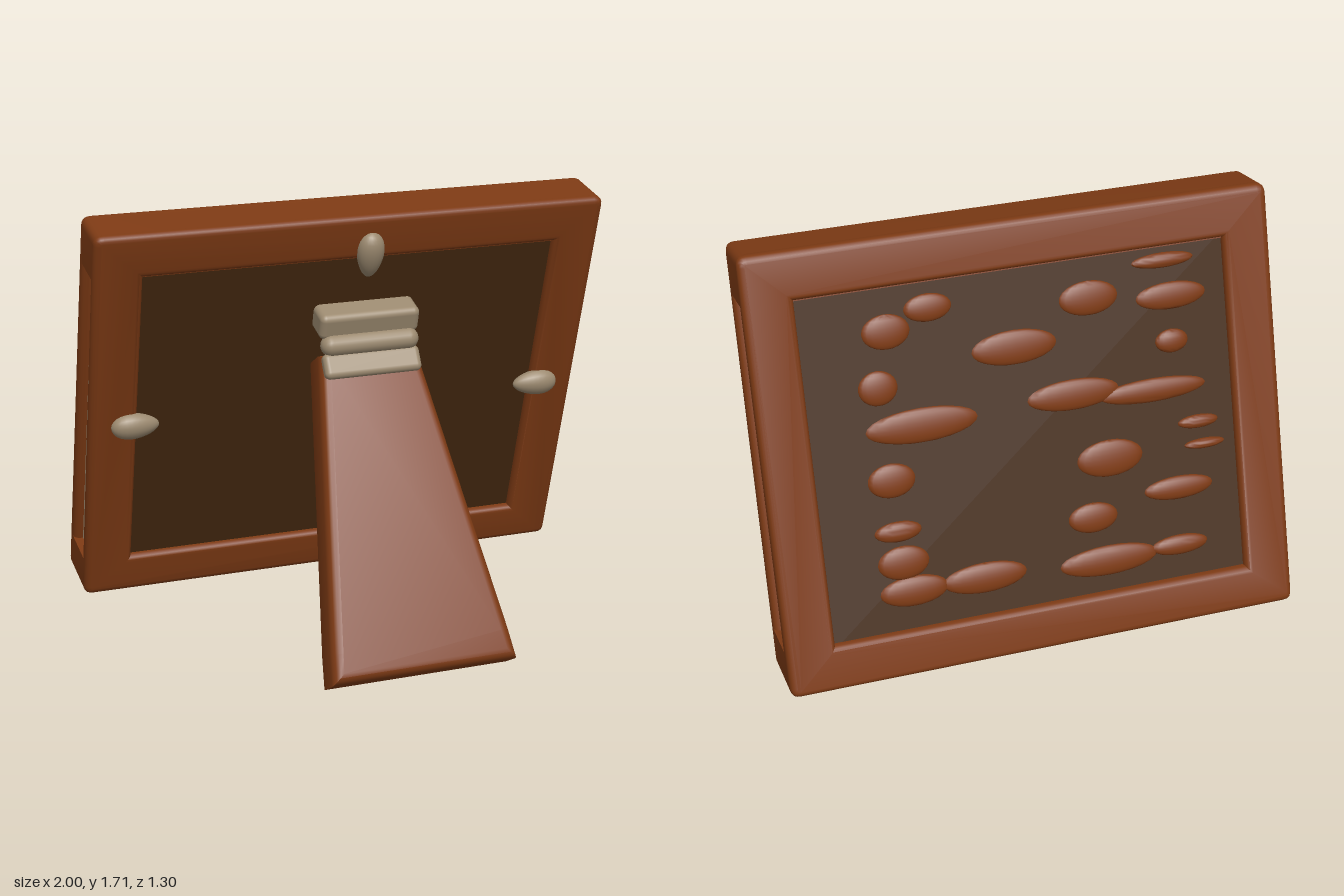
import * as THREE from 'three';
import { toCreasedNormals } from 'three/addons/utils/BufferGeometryUtils.js';
import { RoundedBoxGeometry } from 'three/addons/geometries/RoundedBoxGeometry.js';

const H = 1.6, D = 0.26; // frame height and depth before leaning
const HOLE = { x: 0.815, y0: 0.165, y1: 1.425 };

function makeMaterial(name, color) {
  const m = new THREE.MeshStandardMaterial({ color });
  m.name = name;
  return m;
}

// Leans the upright frame back and makes it thicker towards the bottom
function lean(geo) {
  const p = geo.attributes.position;
  for (let i = 0; i < p.count; i++) {
    const t = p.getY(i) / H, s = p.getZ(i) / D;
    const y = THREE.MathUtils.lerp(0.14, 0.10, s) + 1.56 * t;
    const z = THREE.MathUtils.lerp(-0.65 + 0.51 * t, -0.36 + 0.45 * t, s);
    p.setXYZ(i, p.getX(i), y, z);
  }
  return toCreasedNormals(geo, 0.7);
}

// Rectangle with corner radii for the bottom and the top
function roundedRect(x0, y0, x1, y1, rb, rt) {
  const s = new THREE.Shape();
  s.moveTo(x0 + rb, y0);
  s.lineTo(x1 - rb, y0);
  if (rb) s.quadraticCurveTo(x1, y0, x1, y0 + rb);
  s.lineTo(x1, y1 - rt);
  if (rt) s.quadraticCurveTo(x1, y1, x1 - rt, y1);
  s.lineTo(x0 + rt, y1);
  if (rt) s.quadraticCurveTo(x0, y1, x0, y1 - rt);
  s.lineTo(x0, y0 + rb);
  if (rb) s.quadraticCurveTo(x0, y0, x0 + rb, y0);
  return s;
}

// Extrusion from z0 to z1 whose bevel stays inside the outline
function slab(shape, z0, z1, size, thick = size) {
  const geo = new THREE.ExtrudeGeometry(shape, {
    depth: z1 - z0 - 2 * thick, bevelEnabled: size > 0, bevelSize: size,
    bevelThickness: thick, bevelOffset: -size, bevelSegments: 4, curveSegments: 5,
  });
  return geo.translate(0, 0, z0 + thick);
}

function box(x0, x1, y0, y1, z0, z1) {
  return new THREE.BoxGeometry(x1 - x0, y1 - y0, z1 - z0)
    .translate((x0 + x1) / 2, (y0 + y1) / 2, (z0 + z1) / 2);
}

export function createModel() {
  const model = new THREE.Group();
  model.name = 'pictureFrame';
  const wood = makeMaterial('reddishWood', 0x7d3a14);
  const dark = makeMaterial('darkBoard', 0x43280f);
  const pale = makeMaterial('paleInsert', 0xb29c7e);
  const metal = makeMaterial('dullMetal', 0x9c8a70);

  const add = (name, geo, mat, parent = model) => {
    const mesh = new THREE.Mesh(geo, mat);
    mesh.name = name;
    parent.add(mesh);
    return mesh;
  };

  // Front and back frame rings, with the side slots between them
  for (const [name, z0, z1] of [['backRing', 0, 0.072], ['frontRing', 0.195, D]]) {
    const ring = roundedRect(-1, 0, 1, H, 0.035, 0.035);
    ring.holes.push(new THREE.Path([
      new THREE.Vector2(-HOLE.x, HOLE.y0), new THREE.Vector2(-HOLE.x, HOLE.y1),
      new THREE.Vector2(HOLE.x, HOLE.y1), new THREE.Vector2(HOLE.x, HOLE.y0),
    ]));
    add(name, lean(slab(ring, z0, z1, 0.025)), wood);
  }

  // Solid middle of the top and bottom rails
  add('bottomRail', lean(slab(roundedRect(-1, 0, 1, 0.16, 0.035, 0), 0.025, D - 0.025, 0)), wood);
  add('topRail', lean(slab(roundedRect(-1, 1.42, 1, H, 0, 0.035), 0.025, D - 0.025, 0)), wood);

  // Pale layer showing in both side slots, and the dark board
  add('sideInsert', lean(box(-0.965, 0.965, 0.1, 1.5, 0.05, 0.21)), pale);
  add('board', lean(box(-0.84, 0.84, 0.12, 1.46, 0.032, 0.228)), dark);

  // Raised blobs on the back: across, down, half width, half height (fractions of the opening)
  const blobs = [
    [0.196, 0.129, 0.055, 0.05], [0.296, 0.078, 0.055, 0.04], [0.165, 0.285, 0.045, 0.05],
    [0.256, 0.409, 0.13, 0.05], [0.173, 0.555, 0.055, 0.05], [0.175, 0.706, 0.055, 0.03],
    [0.18, 0.8, 0.06, 0.05], [0.198, 0.888, 0.08, 0.045], [0.366, 0.889, 0.1, 0.045],
    [0.486, 0.229, 0.1, 0.05], [0.67, 0.121, 0.07, 0.05], [0.854, 0.044, 0.075, 0.022],
    [0.868, 0.15, 0.085, 0.04], [0.862, 0.283, 0.04, 0.035], [0.615, 0.394, 0.11, 0.045],
    [0.807, 0.42, 0.13, 0.035], [0.69, 0.6, 0.08, 0.055], [0.912, 0.535, 0.05, 0.02],
    [0.924, 0.604, 0.05, 0.015], [0.637, 0.77, 0.06, 0.045], [0.852, 0.725, 0.085, 0.035],
    [0.667, 0.907, 0.12, 0.045], [0.844, 0.9, 0.07, 0.03],
  ];
  const blobGroup = new THREE.Group();
  blobGroup.name = 'backRelief';
  model.add(blobGroup);
  const w = 2 * HOLE.x, h = HOLE.y1 - HOLE.y0;
  for (const [u, v, ru, rv] of blobs) {
    const geo = new THREE.SphereGeometry(1, 20, 12)
      .scale(ru * w, rv * h, 0.02)
      .translate(HOLE.x - u * w, HOLE.y1 - v * h, 0.032);
    add('reliefBlob', lean(geo), wood, blobGroup);
  }

  // Tapered easel leg with a dark underside
  const leg = new THREE.Group();
  leg.name = 'easelLeg';
  leg.position.set(0.063, 0.01, 0.49);
  leg.rotation.x = -0.549;
  model.add(leg);
  const trapezoid = (inset) => new THREE.Shape([
    new THREE.Vector2(-0.367 + inset, -0.045 + inset), new THREE.Vector2(0.367 - inset, -0.045 + inset),
    new THREE.Vector2(0.355 - inset, 0.07), new THREE.Vector2(0.197 - inset, 1.2 - inset),
    new THREE.Vector2(-0.197 + inset, 1.2 - inset), new THREE.Vector2(-0.355 + inset, 0.07),
  ]);
  add('legBody', toCreasedNormals(slab(trapezoid(0), 0, 0.182, 0.04, 0.045), 0.7), wood, leg);
  add('legUnderside', slab(trapezoid(0.04), -0.004, 0.003, 0, 0), dark, leg);

  // Hinge: upper leaf, barrel and lower leaf
  const hinge = new THREE.Group();
  hinge.name = 'hinge';
  hinge.position.x = 0.063;
  model.add(hinge);
  const upper = add('upperLeaf', new RoundedBoxGeometry(0.4, 0.105, 0.13, 4, 0.025), metal, hinge);
  upper.position.set(0, 1.243, -0.025);
  upper.rotation.x = 0.28;
  const barrel = add('hingeBarrel', new THREE.CapsuleGeometry(0.042, 0.31, 6, 18).rotateZ(Math.PI / 2), metal, hinge);
  barrel.position.set(0, 1.157, 0.022);
  const lower = add('lowerLeaf', new RoundedBoxGeometry(0.39, 0.1, 0.055, 4, 0.022), metal, hinge);
  lower.position.set(0, 1.08, 0.045);
  lower.rotation.x = -0.549;

  // Turn-button clips, broad at the outside and narrower towards the board
  const clips = [
    [0.055, 1.505, 0.048, 0], [-0.825, 0.87, -0.135, Math.PI / 2],
    [0.83, 0.865, -0.135, -Math.PI / 2], [0.06, 0.225, -0.32, Math.PI],
  ];
  for (const [x, y, z, turn] of clips) {
    const geo = new THREE.SphereGeometry(1, 20, 14);
    const p = geo.attributes.position;
    for (let i = 0; i < p.count; i++) {
      const k = 1 + 0.2 * p.getY(i);
      p.setXYZ(i, p.getX(i) * 0.052 * k, p.getY(i) * 0.093, p.getZ(i) * 0.044 * k);
    }
    geo.rotateZ(turn).rotateX(0.28);
    geo.computeVertexNormals();
    add('clip', geo, metal).position.set(x, y, z);
  }

  return model;
}
